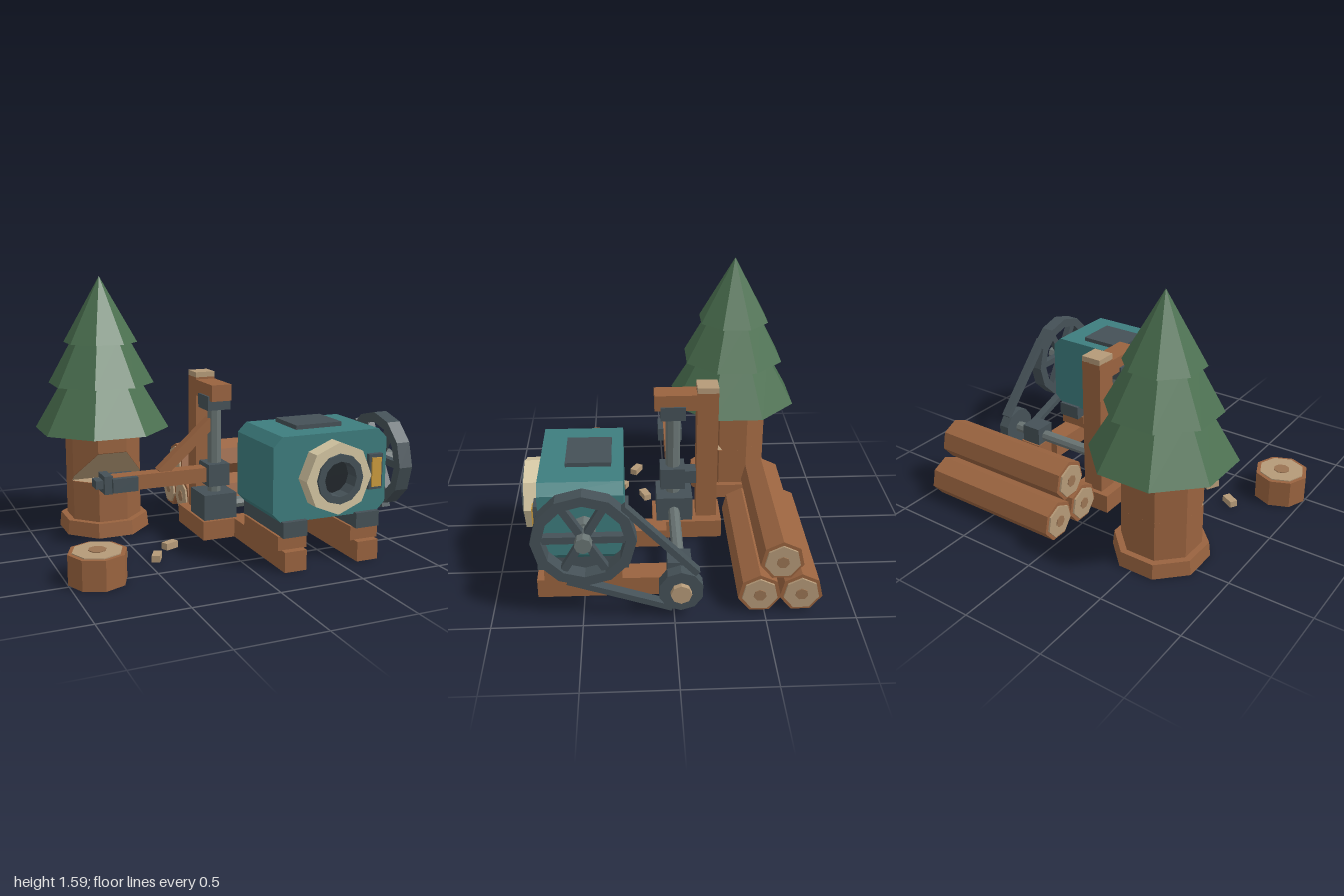
import * as THREE from 'three';
import { ConvexGeometry } from 'three/addons/geometries/ConvexGeometry.js';

const mat = (color, side = THREE.FrontSide) =>
  new THREE.MeshStandardMaterial({ color, flatShading: true, side });
const WOOD = mat(0x99633f), TAN = mat(0xb59a78, THREE.DoubleSide), CORE = mat(0x9a7453);
const STEEL = mat(0x455157), SHAFT = mat(0x697473), TEAL = mat(0x3d7d7e);
const CREAM = mat(0xd5c7a3), GREEN = mat(0x4b7050), GOLD = mat(0xcc9c3d), BLACK = mat(0x20262a);

function add(parent, name, geometry, material, x = 0, y = 0, z = 0) {
  const mesh = new THREE.Mesh(geometry, material);
  mesh.name = name;
  mesh.position.set(x, y, z);
  parent.add(mesh);
  return mesh;
}

// Box given by its [min, max] range on each axis
function box(parent, name, m, [x0, x1], [y0, y1], [z0, z1]) {
  return add(parent, name, new THREE.BoxGeometry(x1 - x0, y1 - y0, z1 - z0), m,
    (x0 + x1) / 2, (y0 + y1) / 2, (z0 + z1) / 2);
}

// Cylinder lying along x, with a corner pointing up
function rodX(parent, name, m, r, x0, x1, y, z, sides = 8) {
  const g = new THREE.CylinderGeometry(r, r, x1 - x0, sides).rotateY(Math.PI / 2).rotateZ(Math.PI / 2);
  return add(parent, name, g, m, (x0 + x1) / 2, y, z);
}

// Upright prism or frustum
function column(parent, name, m, rTop, rBottom, y0, y1, x, z, sides = 8, turn = 0) {
  const g = new THREE.CylinderGeometry(rTop, rBottom, y1 - y0, sides).rotateY(turn);
  return add(parent, name, g, m, x, (y0 + y1) / 2, z);
}

// Straight bar between two points
function bar(parent, name, m, a, b, width, height) {
  const p = new THREE.Vector3(...a), q = new THREE.Vector3(...b);
  const mid = p.clone().add(q).multiplyScalar(0.5);
  const mesh = add(parent, name, new THREE.BoxGeometry(width, height, p.distanceTo(q)), m, mid.x, mid.y, mid.z);
  mesh.lookAt(q);
  return mesh;
}

// Polygonal ring extruded along z
function ringGeometry(outer, inner, depth, sides) {
  const points = r => Array.from({ length: sides }, (_, i) => {
    const a = i / sides * Math.PI * 2;
    return new THREE.Vector2(Math.cos(a) * r, Math.sin(a) * r);
  });
  const shape = new THREE.Shape(points(outer));
  shape.holes.push(new THREE.Path(points(inner)));
  return new THREE.ExtrudeGeometry(shape, { depth, bevelEnabled: false });
}

// Flat convex face from its corners
function face(parent, name, m, corners) {
  const g = new THREE.BufferGeometry().setFromPoints(corners);
  g.setIndex(corners.slice(2).flatMap((_, i) => [0, i + 1, i + 2]));
  g.computeVertexNormals();
  return add(parent, name, g, m);
}

function group(parent, name) {
  const g = new THREE.Group();
  g.name = name;
  parent.add(g);
  return g;
}

function buildTree(root) {
  const tree = group(root, 'tree');
  tree.position.set(-0.53, 0, -0.45);
  const turn = Math.PI / 8;
  column(tree, 'rootFlare', WOOD, 0.275, 0.285, 0, 0.09, 0, 0, 8, turn);
  column(tree, 'lowerTrunk', WOOD, 0.235, 0.235, 0.09, 0.335, 0, 0, 8, turn);

  // Upper trunk with a sloping undercut at the front
  const v = (x, y, z) => new THREE.Vector3(x, y, z);
  const A = 0.217, B = 0.09, pts = [];
  const cut = [v(-A, 0.335, 0.065), v(-A, 0.366, 0.09), v(-B, 0.523, A),
    v(B, 0.523, A), v(A, 0.366, 0.09), v(A, 0.335, 0.065)];
  for (const s of [-1, 1]) {
    for (const [x, z] of [[A, B], [B, A], [A, -B], [B, -A]]) pts.push(v(s * x, 0.66, z));
    for (const [x, z] of [[A, -B], [B, -A]]) pts.push(v(s * x, 0.335, z));
  }
  add(tree, 'upperTrunk', new ConvexGeometry([...pts, ...cut]), WOOD);
  face(tree, 'notchUpperFace', TAN, cut.map(p => p.clone().add(v(0, -0.002, 0.003))));
  face(tree, 'notchLowerFace', TAN, cut.map(p => v(p.x, 0.338, p.z)));

  // Three tiers of foliage: bottom radius, top radius, bottom y, top y
  [[0.42, 0.235, 0.645, 0.96], [0.33, 0.175, 0.93, 1.21], [0.23, 0, 1.185, 1.59]].forEach(([rb, rt, y0, y1], i) =>
    column(tree, `foliage${i + 1}`, GREEN, rt, rb, y0, y1, 0, 0, 8, turn));
}

function buildLogs(root) {
  const logs = group(root, 'logPile');
  for (const [y, z] of [[0.125, -0.47], [0.125, -0.7], [0.34, -0.585]]) {
    rodX(logs, 'logBark', WOOD, 0.122, 0.02, 0.925, y, z, 7);
    rodX(logs, 'logEnds', TAN, 0.1, 0.008, 0.937, y, z, 7);
    rodX(logs, 'logCores', CORE, 0.036, 0.003, 0.943, y, z, 7);
  }
}

function buildStump(root) {
  const stump = group(root, 'stump');
  column(stump, 'stumpBark', WOOD, 0.165, 0.165, 0, 0.17, -0.835, 0.475);
  column(stump, 'stumpTop', TAN, 0.14, 0.14, 0.16, 0.176, -0.835, 0.475);
  column(stump, 'stumpCore', CORE, 0.05, 0.05, 0.16, 0.181, -0.835, 0.475);
  for (const [x, z, turn] of [[-0.63, 0.19, -0.5], [-0.295, 0.135, 0.4], [-0.435, 0.295, 1.1]])
    box(root, 'woodChip', TAN, [-0.045, 0.045], [0, 0.04], [-0.024, 0.024])
      .rotateY(turn).position.set(x, 0.02, z);
}

function buildSaw(root) {
  const saw = group(root, 'cuttingFrame');
  // Timber post and top arm
  box(saw, 'postBase', WOOD, [-0.06, 0.19], [0, 0.117], [-0.33, 0.095]);
  box(saw, 'post', WOOD, [0, 0.127], [0.1, 0.968], [-0.302, -0.175]);
  box(saw, 'postCap', TAN, [0, 0.127], [0.965, 1], [-0.302, -0.175]);
  box(saw, 'topArm', WOOD, [0, 0.127], [0.855, 0.955], [-0.18, 0.08]);
  // Upright drive shaft
  box(saw, 'topBearing', STEEL, [-0.012, 0.138], [0.795, 0.882], [-0.107, 0.045]);
  column(saw, 'uprightShaft', SHAFT, 0.045, 0.045, 0.2, 0.82, 0.063, -0.033);
  box(saw, 'armCollar', STEEL, [-0.005, 0.132], [0.32, 0.458], [-0.105, 0.047]);
  box(saw, 'collarBracket', STEEL, [0.02, 0.107], [0.345, 0.43], [-0.18, -0.1]);
  box(saw, 'gearbox', STEEL, [-0.045, 0.17], [0.115, 0.275], [-0.15, 0.072]);
  // Swinging arm with steel cutter
  box(saw, 'swingArm', WOOD, [-0.61, 0.01], [0.342, 0.432], [-0.085, 0.005]);
  bar(saw, 'armBrace', WOOD, [-0.29, 0.42, -0.042], [0.045, 0.715, -0.042], 0.065, 0.065);
  box(saw, 'armPlate', STEEL, [-0.61, -0.455], [0.345, 0.43], [-0.12, 0.04]);
  box(saw, 'cutterHead', STEEL, [-0.655, -0.605], [0.335, 0.445], [-0.115, 0.017]);
  box(saw, 'cutterTip', STEEL, [-0.7, -0.65], [0.365, 0.415], [-0.1, -0.01]);
}

function buildEngine(root) {
  const engine = group(root, 'engine');
  // Timber skids, packing blocks and steel feet
  for (const [name, x] of [['right', 0.213], ['left', 0.677]]) {
    box(engine, `${name}Skid`, WOOD, [x - 0.068, x + 0.068], [0, 0.117], [0.015, 0.765]);
    box(engine, `${name}Block`, WOOD, [x - 0.09, x + 0.09], [0.115, 0.198], [0.285, 0.72]);
    box(engine, `${name}Foot`, STEEL, [x - 0.075, x + 0.075], [0.195, 0.285], [0.245, 0.755]);
  }
  // Chamfered housing
  const w = 0.36, h = 0.2425, c = 0.055;
  const outline = [[-w + c, -h], [w - c, -h], [w, -h + c], [w, h - c], [w - c, h], [-w + c, h], [-w, h - c], [-w, -h + c]];
  const shape = new THREE.Shape(outline.map(p => new THREE.Vector2(...p)));
  add(engine, 'housing', new THREE.ExtrudeGeometry(shape, { depth: 0.46, bevelEnabled: false }), TEAL, 0.445, 0.5175, 0.267);
  box(engine, 'topHatch', STEEL, [0.298, 0.592], [0.75, 0.785], [0.332, 0.585]);
  // Round front port
  add(engine, 'portRing', ringGeometry(0.205, 0.13, 0.095, 8), CREAM, 0.445, 0.52, 0.725);
  add(engine, 'portSleeve', ringGeometry(0.142, 0.1, 0.11, 12), STEEL, 0.445, 0.52, 0.725);
  add(engine, 'portHole', new THREE.CylinderGeometry(0.105, 0.105, 0.02, 12).rotateX(Math.PI / 2), BLACK, 0.445, 0.52, 0.735);
  // Gauge panel
  box(engine, 'gaugeFrame', STEEL, [0.677, 0.765], [0.415, 0.62], [0.72, 0.755]);
  box(engine, 'gaugeGlass', GOLD, [0.692, 0.752], [0.432, 0.6], [0.75, 0.765]);
}

function buildDrive(root) {
  const drive = group(root, 'beltDrive');
  const big = { y: 0.52, z: 0.48 }, small = { y: 0.18, z: -0.035 };
  // Flywheel with six spokes
  rodX(drive, 'flywheelCollar', SHAFT, 0.062, 0.8, 0.88, big.y, big.z);
  rodX(drive, 'flywheelAxle', SHAFT, 0.047, 0.8, 1, big.y, big.z);
  add(drive, 'flywheelRim', ringGeometry(0.28, 0.222, 0.085, 12).rotateY(Math.PI / 2), STEEL, 0.88, big.y, big.z);
  for (let i = 0; i < 6; i++) {
    const a = i * Math.PI / 3, dy = Math.sin(a) * 0.235, dz = Math.cos(a) * 0.235;
    bar(drive, 'flywheelSpoke', STEEL, [0.922, big.y, big.z], [0.922, big.y + dy, big.z + dz], 0.045, 0.042);
  }
  // Cross shaft, bearing and pulley
  rodX(drive, 'crossShaft', SHAFT, 0.036, 0.15, 0.9, small.y, small.z);
  box(drive, 'bearingStand', WOOD, [0.655, 0.805], [0, 0.135], [-0.115, 0.03]);
  box(drive, 'shaftBearing', STEEL, [0.662, 0.795], [0.13, 0.25], [-0.103, 0.032]);
  rodX(drive, 'pulley', STEEL, 0.125, 0.89, 0.96, small.y, small.z, 10);
  rodX(drive, 'pulleyCap', TAN, 0.058, 0.95, 0.99, small.y, small.z);
  // Two straight belt runs
  bar(drive, 'upperBelt', STEEL, [0.922, 0.71, 0.27], [0.922, 0.285, -0.125], 0.055, 0.035);
  bar(drive, 'lowerBelt', STEEL, [0.922, 0.255, 0.575], [0.922, 0.06, 0.01], 0.055, 0.035);
}

export function createModel() {
  const root = new THREE.Group();
  root.name = 'loggingScene';
  for (const build of [buildTree, buildLogs, buildStump, buildSaw, buildEngine, buildDrive]) build(root);
  return root;
}
